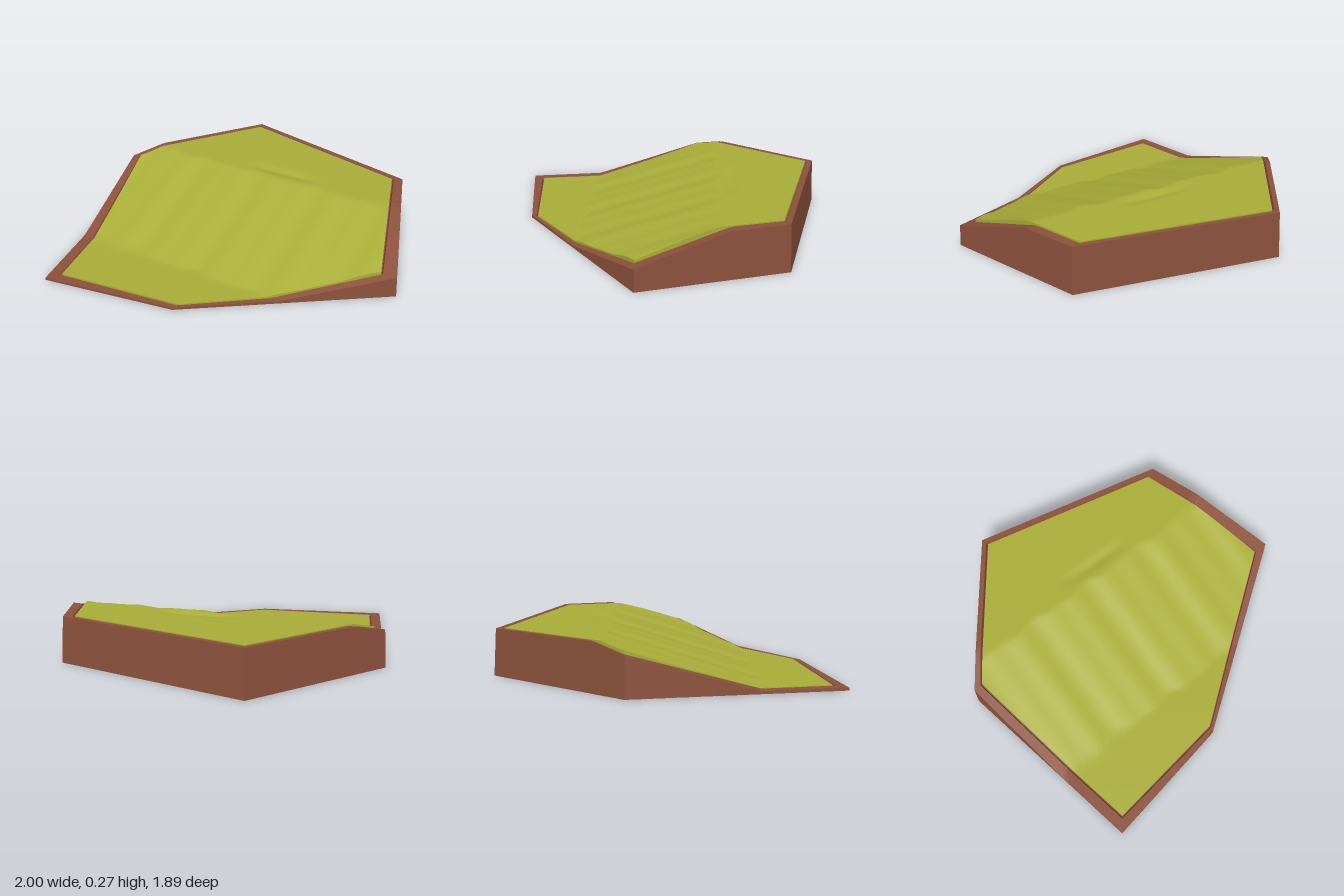
import * as THREE from 'three';

const soil = new THREE.MeshStandardMaterial({ color: 0x8c513d });
soil.name = 'soil brown';
const grass = new THREE.MeshStandardMaterial({ color: 0xaaae38 });
grass.name = 'grass green';

// Six-sided plan of the block and of the turf on it, as [x, z]
const rim = [[-0.42, -0.95], [0.73, -0.69], [1, 0.12], [-0.02, 0.82], [-0.8, 0.945], [-1, -0.2]];
const turf = [[-0.4, -0.89], [0.66, -0.65], [0.9, 0.12], [-0.01, 0.78], [-0.74, 0.87], [-0.93, -0.2]];
const STEPS = 28;

// Points along the plan, so the edges can follow the slope
function sample(corners) {
  return corners.flatMap(([x, z], i) => {
    const [nx, nz] = corners[(i + 1) % corners.length];
    return Array.from({ length: STEPS }, (_, k) => [x + (nx - x) * k / STEPS, z + (nz - z) * k / STEPS]);
  });
}

// Low shelf in front, ramp, high shelf behind
const slope = (z, front, back) => 0.015 + 0.25 * THREE.MathUtils.clamp((front - z) / (front - back), 0, 1);
const soilHeight = (x, z) => slope(z, 0.49, -0.37);

function grassHeight(x, z) {
  const wave = 0.012 * Math.sin(x * 17) + 0.008 * Math.sin(x * 31 + 1);
  // shallow crease in the upper shelf
  const dip = 0.014 * Math.exp(-(((z + 0.39) / 0.03) ** 2) - ((x - 0.03) / 0.2) ** 4);
  return slope(z, 0.49 + wave, -0.31 + wave) + 0.001 - dip;
}

const ring = (plan, scale, height) => plan.map(([x, z]) => {
  const px = x * scale, pz = z * scale;
  return [px, height(px, pz), pz];
});

// Skin a series of equal-length rings
function loft(rings) {
  const n = rings[0].length, index = [];
  for (let r = 0; r < rings.length - 1; r++) {
    for (let i = 0; i < n; i++) {
      const j = (i + 1) % n;
      const a = r * n + i, b = r * n + j, A = a + n, B = b + n;
      index.push(a, A, B, a, B, b);
    }
  }
  const geometry = new THREE.BufferGeometry();
  geometry.setAttribute('position', new THREE.Float32BufferAttribute(rings.flat(2), 3));
  geometry.setIndex(index);
  return geometry;
}

function flat(geometry) {
  const g = geometry.toNonIndexed();
  g.computeVertexNormals();
  return g;
}

function addMesh(group, name, geometry, material) {
  const mesh = new THREE.Mesh(geometry, material);
  mesh.name = name;
  group.add(mesh);
}

export function createModel() {
  const group = new THREE.Group();
  group.name = 'slopedGroundTile';
  const rimPlan = sample(rim), turfPlan = sample(turf);

  // Soil block: underside, slightly tapered walls, rim and the groove beside the turf
  const floor = (x, z) => Math.max(0.004, soilHeight(x, z) - 0.02);
  const top = rimPlan.map(([x, z]) => {
    const y = soilHeight(x, z), s = 1 - 0.06 * y;
    return [x * s, y, z * s];
  });
  addMesh(group, 'soilBlock', flat(loft([
    ring(rimPlan, 0, () => 0),
    ring(rimPlan, 1, () => 0),
    top,
    ring(turfPlan, 1.014, soilHeight),
    ring(turfPlan, 1.006, floor),
    ring(turfPlan, 0.97, floor),
  ])), soil);

  // Turf surface
  const rings = [];
  for (let k = 0; k <= 40; k++) rings.push(ring(turfPlan, 1 - k / 40, grassHeight));
  const surface = loft(rings);
  surface.computeVertexNormals();
  addMesh(group, 'grassTop', surface, grass);

  // Turf edge
  addMesh(group, 'grassEdge', flat(loft([
    ring(turfPlan, 1, floor),
    ring(turfPlan, 1, grassHeight),
  ])), grass);

  return group;
}
